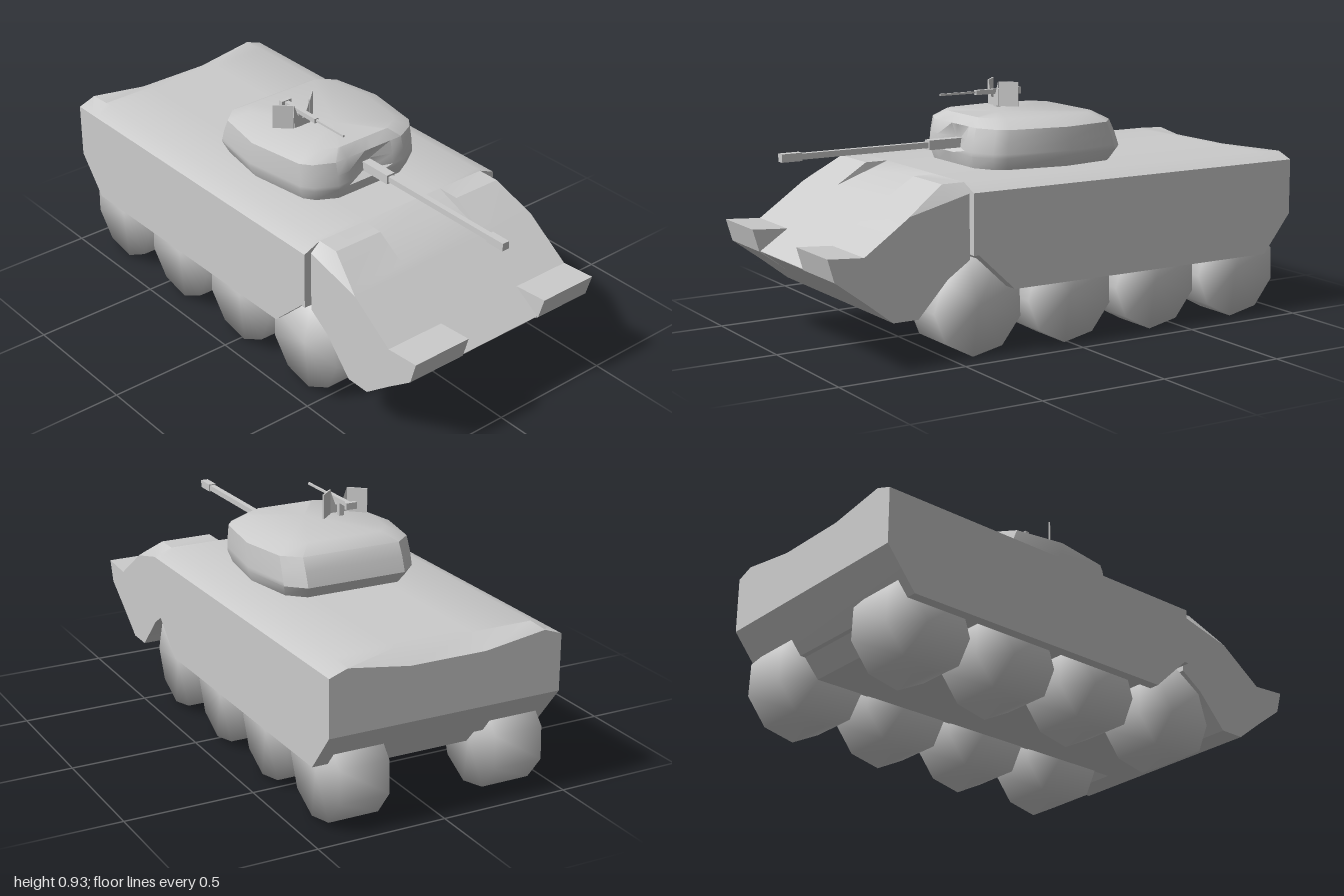
import * as THREE from 'three';
import { mergeVertices, toCreasedNormals } from 'three/addons/utils/BufferGeometryUtils.js';

const grey = new THREE.MeshStandardMaterial({ color: 0xcccccc });
const thin = new THREE.MeshStandardMaterial({ color: 0xcccccc, side: THREE.DoubleSide });

function add(parent, name, geometry, x = 0, y = 0, z = 0, material = grey) {
  const mesh = new THREE.Mesh(geometry, material);
  mesh.name = name;
  mesh.position.set(x, y, z);
  parent.add(mesh);
  return mesh;
}

// Closes half a section into a loop symmetric about z = 0
const mirror = half => [...half, ...half.slice().reverse().map(([x, y, z]) => [x, y, -z])];

// Skins a row of equal loops and caps both ends
function loft(rings, crease = 0.5) {
  const n = rings[0].length, pos = rings.flat(2), index = [];
  for (let r = 0; r < rings.length - 1; r++) {
    for (let i = 0; i < n; i++) {
      const a = r * n + i, b = r * n + (i + 1) % n;
      index.push(a, b, b + n, a, b + n, a + n);
    }
  }
  [0, rings.length - 1].forEach(r => {
    const c = pos.length / 3;
    for (let k = 0; k < 3; k++) pos.push(rings[r].reduce((s, p) => s + p[k], 0) / n);
    for (let i = 0; i < n; i++) {
      const a = r * n + i, b = r * n + (i + 1) % n;
      index.push(c, ...(r ? [a, b] : [b, a]));
    }
  });
  const g = new THREE.BufferGeometry();
  g.setAttribute('position', new THREE.Float32BufferAttribute(pos, 3));
  g.setIndex(index);
  return toCreasedNormals(g, crease);
}

// Side profile in x, y extruded between two z values
function extrude(points, z0, z1) {
  const shape = new THREE.Shape(points.map(p => new THREE.Vector2(...p)));
  return new THREE.ExtrudeGeometry(shape, { depth: z1 - z0, bevelEnabled: false }).translate(0, 0, z0);
}

function buildHull(group) {
  // Upper body: x, bottom height, centre top height (the rear edge dips)
  const body = [[-1, 0.4, 0.605], [-0.91, 0.287, 0.645], [-0.88, 0.25, 0.645],
    [0.27, 0.25, 0.645], [0.42, 0.39, 0.645], [0.44, 0.39, 0.645]];
  add(group, 'upperHull', loft(body.map(([x, b, c]) => mirror([
    [x, c, 0.15], [x, 0.645 - (0.645 - c) * 0.12, 0.39], [x, 0.615, 0.46], [x, b, 0.46]
  ]))));

  // Bow: x, bottom, side edge, top edge, top edge half width, centre panel height
  const bow = [[0.44, 0.37, 0.61, 0.645, 0.39, 0.645], [0.53, 0.31, 0.587, 0.645, 0.39, 0.613],
    [0.65, 0.18, 0.557, 0.57, 0.422, 0.57], [0.68, 0.18, 0.55, 0.55, 0.43, 0.55],
    [0.75, 0.18, 0.501, 0.501, 0.43, 0.501], [0.86, 0.265, 0.425, 0.425, 0.43, 0.425],
    [0.97, 0.35, 0.352, 0.352, 0.43, 0.352]];
  add(group, 'bow', loft(bow.map(([x, b, s, t, w, c]) => mirror([
    [x, c, 0.183], [x, t, 0.185], [x, t, w], [x, s, 0.43], [x, b, 0.43]
  ])), 0.4));

  // Belly between the wheels
  add(group, 'belly', extrude(
    [[-0.99, 0.4], [-0.8, 0.18], [0.66, 0.18], [0.66, 0.45], [-0.99, 0.45]], -0.21, 0.21));

  // Flat fenders either side of the nose
  const fender = [[0.84, 0.425], [0.86, 0.25], [0.975, 0.35], [1, 0.435], [0.86, 0.425]];
  fender[1] = [0.86, 0.265];
  add(group, 'leftFender', extrude(fender, 0.185, 0.43));
  add(group, 'rightFender', extrude(fender, -0.43, -0.185));
}

function buildWheels(group) {
  // Nine-sided drums with fully shared, rounded-looking normals
  let wheel = new THREE.CylinderGeometry(0.185, 0.185, 0.195, 9);
  wheel.rotateX(Math.PI / 2);
  wheel.rotateZ(THREE.MathUtils.degToRad(8));
  wheel.deleteAttribute('uv');
  wheel.deleteAttribute('normal');
  wheel = mergeVertices(wheel);
  wheel.computeVertexNormals();
  [-0.79, -0.4, -0.01, 0.385].forEach((x, i) => {
    add(group, `leftWheel${i + 1}`, wheel, x, 0.188, 0.322);
    add(group, `rightWheel${i + 1}`, wheel, x, 0.188, -0.302);
  });
}

function buildTurret(group) {
  // Plan outline, front to rear: fraction of length, fraction of half width
  const plan = [[1, 0.52], [0.93, 0.78], [0.86, 0.88], [0.45, 1], [0.1, 0.88], [0, 0.66]];
  // Height, rear x, front x, half width, depth of the gun recess
  const levels = [[0.645, -0.33, 0.255, 0.285, 0], [0.69, -0.36, 0.268, 0.305, 0],
    [0.705, -0.355, 0.268, 0.305, 0.03], [0.745, -0.34, 0.262, 0.305, 0.03],
    [0.795, -0.315, 0.25, 0.303, 0], [0.828, -0.26, 0.215, 0.23, 0]];
  add(group, 'turret', loft(levels.map(([y, x0, x1, w, d]) => mirror([
    [x1 - d, y, -0.02], [x1, y, -0.105],
    ...plan.map(([u, v]) => [x0 + u * (x1 - x0), y, -v * w])
  ])), 0.6));

  // Main gun: sleeve, barrel and muzzle as [start, end, thickness]
  [['gunSleeve', 0.22, 0.37, 0.036], ['gunBarrel', 0.36, 0.9, 0.022], ['gunMuzzle', 0.89, 0.97, 0.03]]
    .forEach(([name, a, b, t]) =>
      add(group, name, new THREE.BoxGeometry(b - a, t, t), (a + b) / 2, 0.723, -0.003));
}

function buildMachineGun(group) {
  const gun = new THREE.Group();
  gun.name = 'machineGun';
  gun.position.set(0, 0, 0.12);
  group.add(gun);
  add(gun, 'post', new THREE.BoxGeometry(0.018, 0.065, 0.02), -0.01, 0.852, 0);
  add(gun, 'receiver', new THREE.BoxGeometry(0.19, 0.018, 0.018), -0.005, 0.888, -0.003);
  add(gun, 'grip', new THREE.BoxGeometry(0.018, 0.026, 0.045), -0.095, 0.888, -0.003);
  add(gun, 'barrel', new THREE.BoxGeometry(0.16, 0.008, 0.008), 0.165, 0.889, -0.003);
  // Shield: notched centre plate and two swept wings
  const plate = new THREE.Shape([[-0.037, 0.835], [0.037, 0.835], [0.037, 0.93], [0.018, 0.88],
    [0.012, 0.865], [-0.012, 0.865], [-0.018, 0.88], [-0.037, 0.93]].map(p => new THREE.Vector2(...p)));
  add(gun, 'shieldCentre', new THREE.ShapeGeometry(plate).rotateY(Math.PI / 2), 0.008, 0, 0, thin);
  for (const s of [1, -1]) {
    const wing = add(gun, s > 0 ? 'leftShield' : 'rightShield',
      new THREE.BoxGeometry(0.006, 0.095, 0.078), -0.021, 0.882, s * 0.066);
    wing.rotation.y = -s * 0.75;
  }
}

export function createModel() {
  const model = new THREE.Group();
  model.name = 'armouredVehicle';
  buildHull(model);
  buildWheels(model);
  buildTurret(model);
  buildMachineGun(model);
  return model;
}
